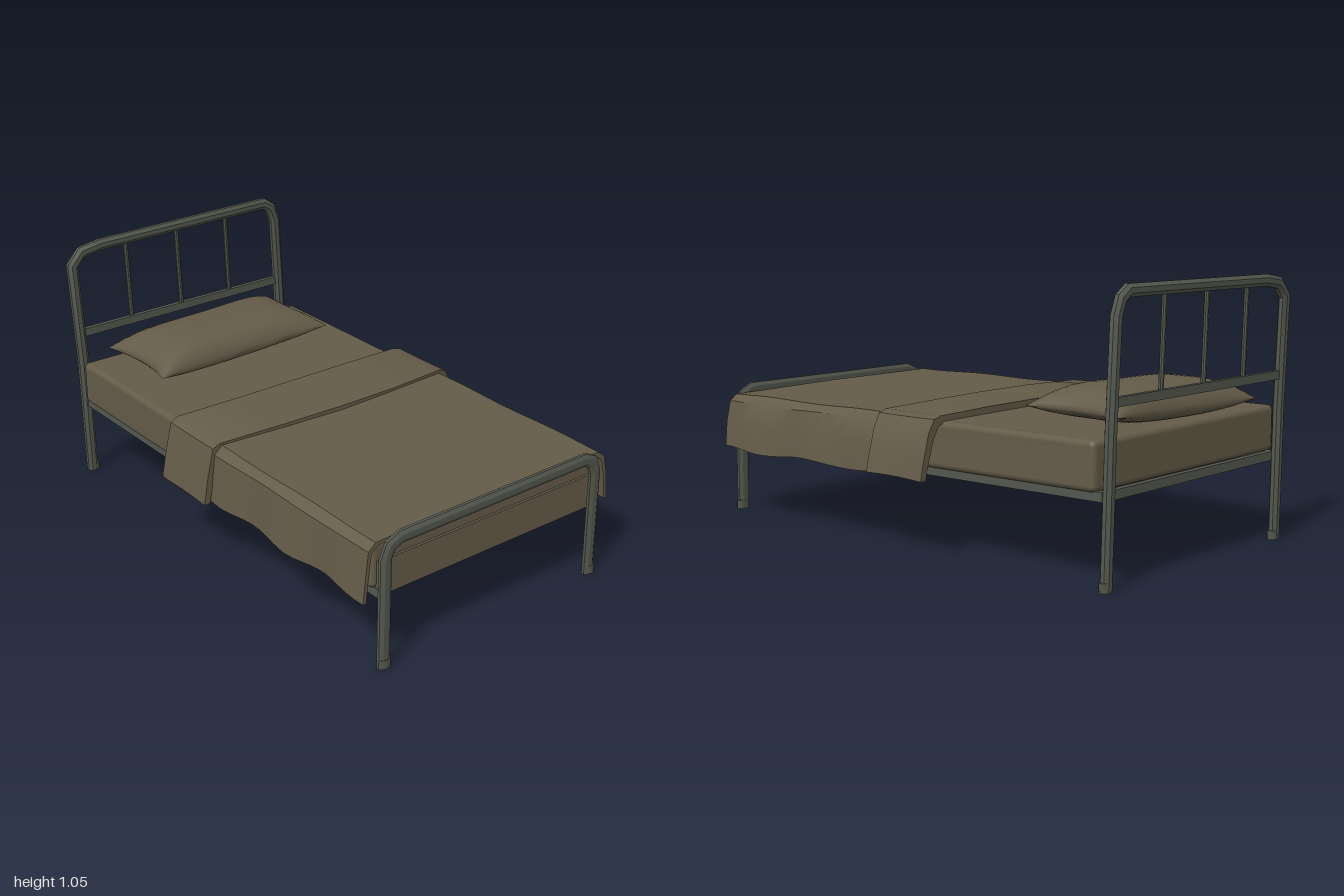
import * as THREE from 'three';
import { toCreasedNormals } from 'three/addons/utils/BufferGeometryUtils.js';
import { RoundedBoxGeometry } from 'three/addons/geometries/RoundedBoxGeometry.js';

const SLOPE = -0.0184; // the bed sinks slightly towards the foot

// Skin over closed rings (counter-clockwise about the path), with strip caps
function loft(rings, crease) {
  const n = rings[0].length, pos = rings.flat(2), idx = [];
  for (let i = 0; i < rings.length - 1; i++) {
    for (let j = 0; j < n; j++) {
      const k = (j + 1) % n, a = i * n, b = a + n;
      idx.push(a + j, a + k, b + j, a + k, b + k, b + j);
    }
  }
  const last = (rings.length - 1) * n;
  for (let j = 0; j < n / 2 - 1; j++) {
    const q = [j, j + 1, n - 2 - j, n - 1 - j];
    idx.push(q[0], q[2], q[1], q[0], q[3], q[2]);
    idx.push(...[q[0], q[1], q[2], q[0], q[2], q[3]].map(v => v + last));
  }
  const g = new THREE.BufferGeometry();
  g.setAttribute('position', new THREE.Float32BufferAttribute(pos, 3));
  g.setIndex(idx);
  return toCreasedNormals(g, crease);
}

// Eight-sided mitred bar following points in the xy plane
function bar(points, z, r, rz) {
  const p = points.map(a => new THREE.Vector2(...a));
  const rings = p.map((c, i) => {
    const t0 = p[Math.max(i, 1)].clone().sub(p[Math.max(i, 1) - 1]).normalize();
    const e = Math.min(i + 1, p.length - 1);
    const t1 = p[e].clone().sub(p[e - 1]).normalize();
    const t = t0.clone().add(t1).normalize();
    const w = r / t.dot(t0);
    return Array.from({ length: 8 }, (_, k) => {
      const a = (k + 0.5) * Math.PI / 4, s = Math.cos(a) * w;
      return [c.x - t.y * s, c.y + t.x * s, z + Math.sin(a) * rz];
    });
  });
  return loft(rings, 0.5);
}

// Draped cloth: arch section listed right to left, thickened inwards, swept along z
function drape(section, z0, z1, steps, thick, bow0, bow1, wave) {
  const rings = [];
  for (let i = 0; i <= steps; i++) {
    const f = i / steps, z = z0 + (z1 - z0) * f;
    const outer = section.map(([x, y], j) => {
      const hang = THREE.MathUtils.clamp((0.5 - y) / 0.2, 0, 1);
      const side = Math.sign(x);
      const bow = (bow0 + (bow1 - bow0) * f) * (1 - (x / 0.65) ** 2);
      return [
        x + side * hang * wave * Math.sin(z * 17 + side),
        y + SLOPE * z + wave * (hang * Math.sin(z * 13 + side * 2) + (1 - hang) * 0.3 * Math.sin(z * 11 + j * 2)),
        z + bow
      ];
    });
    const inner = outer.map(([x, y, zz]) => [
      x - Math.sign(x) * thick, y - thick * THREE.MathUtils.clamp((y - 0.29) / 0.2, 0, 1), zz
    ]).reverse();
    rings.push([...outer, ...inner]);
  }
  return loft(rings, 0.6);
}

function pillowGeometry() {
  const n = 18, rings = [];
  for (let i = 0; i <= n; i++) {
    const u = -Math.cos(Math.PI * i / n);
    const half = s => Array.from({ length: n + 1 }, (_, j) => {
      const v = s * Math.cos(Math.PI * j / n);
      const puff = Math.pow(Math.max(0, (1 - u ** 4) * (1 - v ** 4)), 0.6);
      const x = -0.03 + 0.425 * u * (1 - 0.07 * (1 - v * v));
      const z = -0.735 + 0.213 * v * (1 - 0.09 * (1 - u * u));
      const seam = 0.572 + 0.012 * u - 0.014 * (1 - u * u);
      return [x, seam + (s > 0 ? 0.1 : -0.04) * puff, z];
    });
    // both halves share the two seam points
    rings.push([...half(-1), ...half(1).slice(1, -1)].reverse());
  }
  // reorder from x-sweep to counter-clockwise about +x
  const g = loft(rings, 1.2);
  return g;
}

export function createModel() {
  const bed = new THREE.Group();
  bed.name = 'bed';
  const metal = new THREE.MeshStandardMaterial({ color: 0x54584e });
  metal.name = 'grey green metal';
  const cloth = new THREE.MeshStandardMaterial({ color: 0x645b48 });
  cloth.name = 'olive brown cloth';

  const add = (name, geometry, material, x = 0, y = 0, z = 0, parent = bed) => {
    const m = new THREE.Mesh(geometry, material);
    m.name = name;
    m.position.set(x, y, z);
    parent.add(m);
    return m;
  };
  const box = (w, h, d) => new THREE.BoxGeometry(w, h, d);

  // Headboard: bent bar, cross rail and three spindles, leaning slightly to the right
  const head = new THREE.Group();
  head.name = 'headboard';
  bed.add(head);
  add('headFrame', bar([[-0.55, 0], [-0.56, 0.53], [-0.582, 0.945], [-0.535, 0.997], [-0.445, 1.012],
    [0.395, 1.024], [0.435, 0.998], [0.458, 0.94], [0.48, 0.53], [0.497, 0]], -0.98, 0.025, 0.021), metal, 0, 0, 0, head);
  const rail = add('headRail', box(1.02, 0.034, 0.02), metal, -0.05, 0.647, -0.98, head);
  rail.rotation.z = 0.006;
  for (const x of [-0.315, -0.06, 0.195]) {
    add('spindle', bar([[x + 0.006, 0.65], [x - 0.008, 1.01]], -0.98, 0.01, 0.01), metal, 0, 0, 0, head);
  }

  // Footboard: low bent bar
  add('footFrame', bar([[-0.545, 0], [-0.543, 0.43], [-0.522, 0.48], [-0.475, 0.5],
    [0.43, 0.505], [0.472, 0.485], [0.489, 0.435], [0.491, 0]], 0.98, 0.027, 0.016), metal);

  // Foot caps
  for (const [x, z] of [[-0.545, -0.98], [0.5, -0.98], [-0.542, 0.98], [0.495, 0.98]]) {
    add('footCap', new THREE.CylinderGeometry(0.028, 0.028, 0.036, 8), metal, x, 0.018, z).scale.z = 0.68;
  }

  // Bed frame rails
  for (const x of [-0.545, 0.495]) {
    add('sideRail', box(0.03, 0.035, 1.94), metal, x, 0.311, 0).rotation.x = -SLOPE;
  }
  for (const z of [-0.96, 0.935]) {
    add('endRail', box(1.04, 0.035, 0.025), metal, -0.025, 0.311 + SLOPE * z, z);
  }

  // Mattress, sheared along its length
  const mattress = new RoundedBoxGeometry(1.11, 0.18, 1.9, 3, 0.022);
  const mp = mattress.attributes.position;
  for (let i = 0; i < mp.count; i++) mp.setY(i, mp.getY(i) + SLOPE * mp.getZ(i));
  add('mattress', mattress, cloth, -0.023, 0.415, 0);
  add('sheetEnd', box(1.06, 0.137, 0.014), cloth, -0.025, 0.348, 0.953);

  // Blanket over the lower half and its folded cuff
  add('blanket', drape([[0.603, 0.295], [0.59, 0.4], [0.568, 0.485], [0.535, 0.514], [0.27, 0.517], [0, 0.517],
    [-0.3, 0.517], [-0.565, 0.514], [-0.598, 0.485], [-0.608, 0.4], [-0.618, 0.295]],
  0, 0.96, 22, 0.014, 0, -0.018, 0.008), cloth);
  add('blanketFold', drape([[0.645, 0.3], [0.632, 0.36], [0.6, 0.47], [0.57, 0.518], [0.535, 0.528], [0.27, 0.53], [0, 0.531],
    [-0.3, 0.53], [-0.575, 0.527], [-0.605, 0.51], [-0.63, 0.4], [-0.65, 0.285]],
  -0.238, 0.045, 8, 0.026, 0.01, 0.04, 0.004), cloth);

  // Pillow
  add('pillow', pillowGeometry(), cloth);
  return bed;
}
